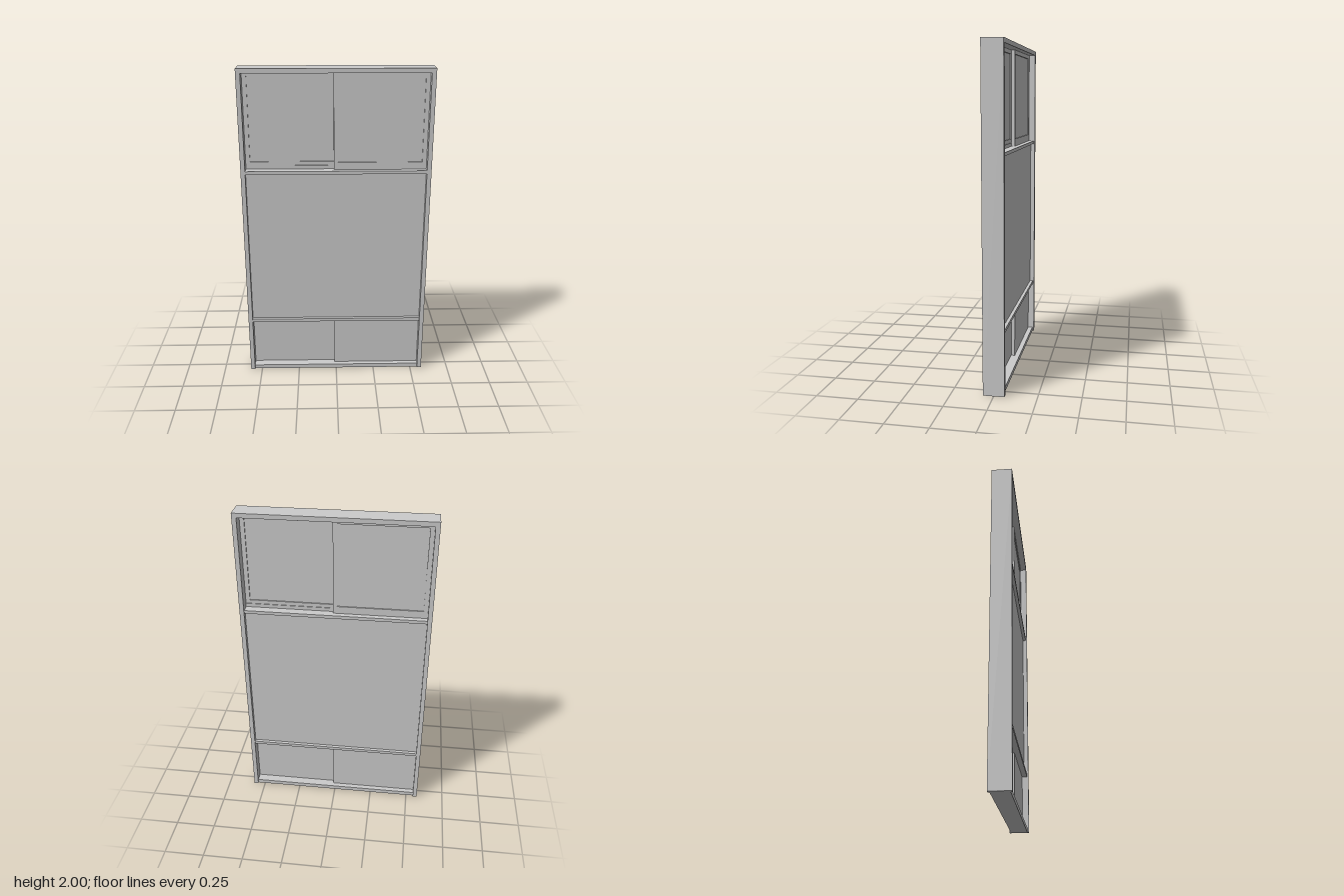
import * as THREE from 'three';

const W = 0.575, H = 2, D = 0.063, T = 0.027; // half width, height, half depth, frame thickness
const IN = W - T;

export function createModel() {
  const group = new THREE.Group();
  const mat = new THREE.MeshStandardMaterial({ color: 0xcccccc, flatShading: true });

  // Box given by its limits on each axis
  function box(name, [x0, x1], [y0, y1], [z0, z1], parent = group) {
    const mesh = new THREE.Mesh(new THREE.BoxGeometry(x1 - x0, y1 - y0, z1 - z0), mat);
    mesh.position.set((x0 + x1) / 2, (y0 + y1) / 2, (z0 + z1) / 2);
    mesh.name = name;
    parent.add(mesh);
  }

  // Outer frame: jambs and head in one piece, sill slightly set back
  const outer = new THREE.Shape();
  [[-W, 0], [-IN, 0], [-IN, H - T], [IN, H - T], [IN, 0], [W, 0], [W, H], [-W, H]]
    .forEach(([x, y], i) => (i ? outer.lineTo(x, y) : outer.moveTo(x, y)));
  outer.closePath();
  const frame = new THREE.Mesh(
    new THREE.ExtrudeGeometry(outer, { depth: 2 * D, bevelEnabled: false }), mat);
  frame.position.z = -D;
  frame.name = 'outerFrame';
  group.add(frame);
  box('sill', [-IN, IN], [0, T], [-0.053, 0.053]);

  // Transoms with the thin guide lips between the sliding tracks
  box('upperTransom', [-IN, IN], [1.37, 1.39], [-0.055, 0.055]);
  box('upperGuide', [-IN, IN], [1.39, 1.412], [-0.002, 0.002]);
  box('lowerTransom', [-IN, IN], [0.36, 0.38], [-0.055, 0.055]);
  box('lowerGuide', [-IN, IN], [0.345, 0.36], [-0.002, 0.002]);

  // Fixed middle panel
  box('middlePanel', [-IN, IN], [0.38, 1.37], [-0.035, 0.035]);

  // Upper sliding sashes (left one in front) and lower sliding panels
  for (const side of [1, -1]) {
    const label = side > 0 ? 'left' : 'right';
    const sash = new THREE.Group();
    sash.name = label + 'Sash';
    const x0 = -0.014, x1 = IN, y0 = 1.39, y1 = H - T;
    const g = { x0: 0.01, x1: 0.522, y0: 1.435, y1: 1.948 };
    const rim = new THREE.Shape();
    rim.moveTo(x0, y0).lineTo(x1, y0).lineTo(x1, y1).lineTo(x0, y1).closePath();
    const hole = new THREE.Path();
    hole.moveTo(g.x0, g.y0).lineTo(g.x0, g.y1).lineTo(g.x1, g.y1).lineTo(g.x1, g.y0).closePath();
    rim.holes.push(hole);
    const rimMesh = new THREE.Mesh(
      new THREE.ExtrudeGeometry(rim, { depth: 0.02, bevelEnabled: false }), mat);
    rimMesh.position.z = 0.002;
    rimMesh.name = label + 'SashFrame';
    sash.add(rimMesh);
    box(label + 'Pane', [g.x0, g.x1], [g.y0, g.y1], [0.009, 0.015], sash);

    // Small latch on the meeting stile of the front sash
    if (side > 0) box('latch', [-0.014, -0.004], [1.6, 1.69], [0.022, 0.027], sash);

    box(label + 'LowerPanel', [-0.012, IN], [T, 0.36], [0.002, 0.022], sash);

    // A half turn places the second sash on the rear track
    if (side < 0) sash.rotation.y = Math.PI;
    group.add(sash);
  }
  return group;
}
